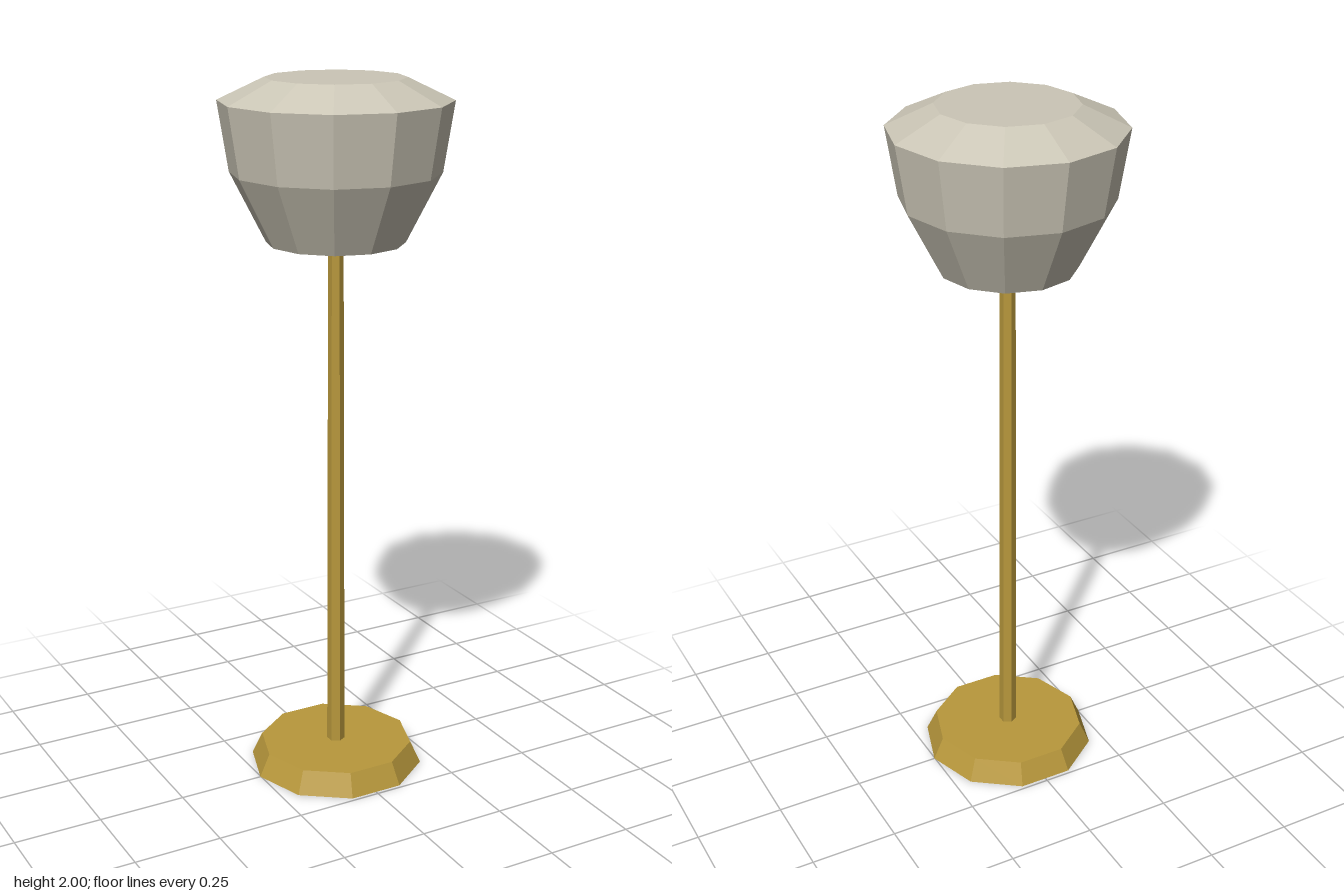
import * as THREE from 'three';

const brass = new THREE.MeshStandardMaterial({ color: 0xb8983c, flatShading: true });
const fabric = new THREE.MeshStandardMaterial({ color: 0xcbc6b6, flatShading: true });

// Faceted solid of revolution from [radius, height] pairs, bottom to top
function turned(name, profile, sides, material, turn = 0) {
  const points = profile.map(([r, y]) => new THREE.Vector2(r, y));
  const mesh = new THREE.Mesh(new THREE.LatheGeometry(points, sides), material);
  mesh.name = name;
  mesh.rotation.y = turn;
  return mesh;
}

export function createModel() {
  const lamp = new THREE.Group();
  lamp.name = 'floorLamp';

  // Ten-sided bevelled foot, corners on the x axis
  lamp.add(turned('base', [[0, 0], [0.252, 0], [0.222, 0.065], [0, 0.065]], 10, brass, Math.PI / 2));

  // Slim six-sided pole, tapering towards the shade
  lamp.add(turned('pole', [[0, 0], [0.026, 0], [0.021, 1.6], [0, 1.6]], 6, brass));

  // Closed twelve-sided shade
  lamp.add(turned('shade', [
    [0, 1.56], [0.19, 1.56], [0.287, 1.75], [0.317, 1.94], [0.19, 2], [0, 2],
  ], 12, fabric));

  return lamp;
}
